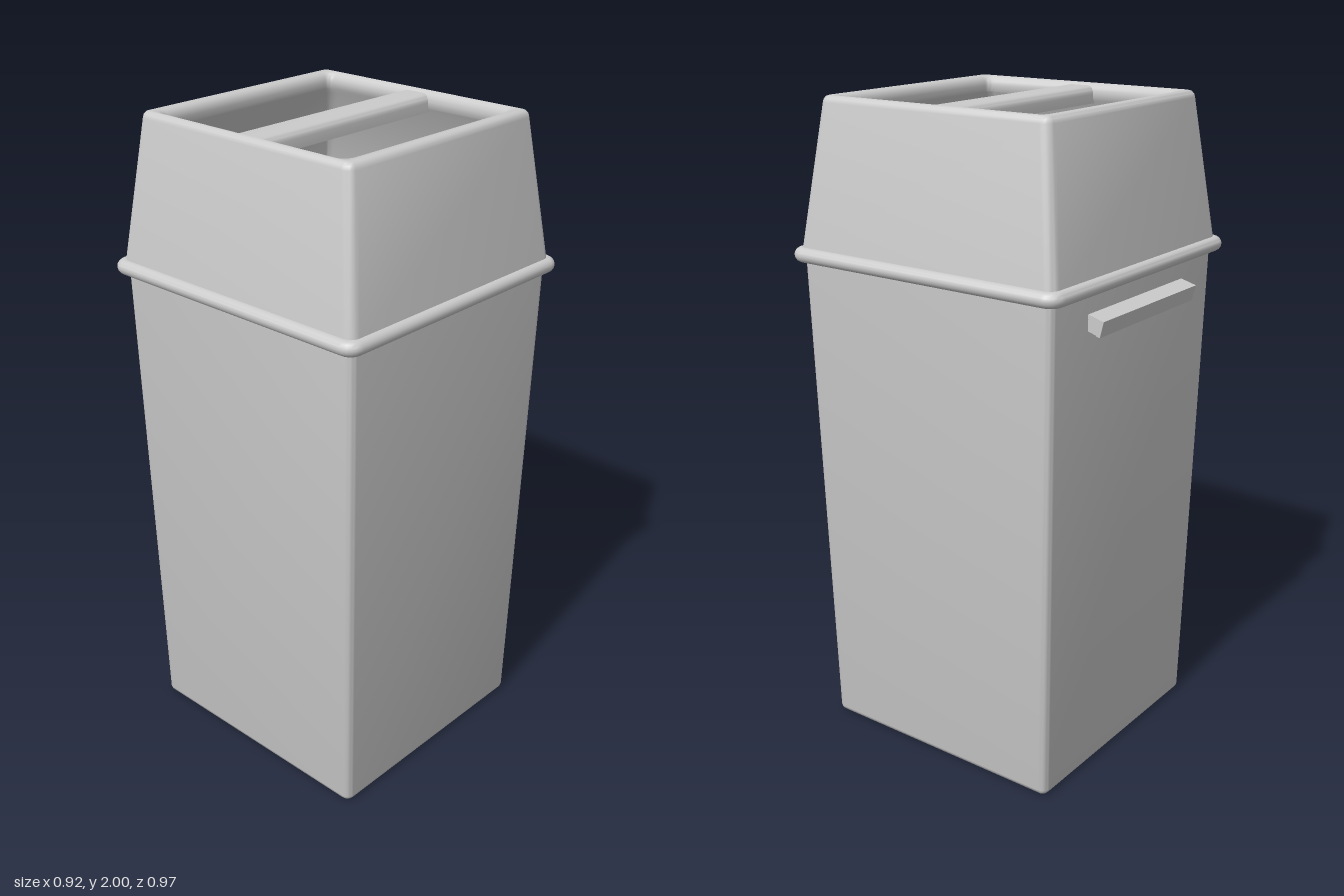
import * as THREE from 'three';
import { toCreasedNormals } from 'three/addons/utils/BufferGeometryUtils.js';

const material = new THREE.MeshStandardMaterial({ color: 0xcccccc });

// Points of a rounded rectangle at height y, from -hx..hx and z0..z1
function ring([y, hx, z0, z1, r], steps = 6) {
  const points = [];
  const corners = [[1, 1], [-1, 1], [-1, -1], [1, -1]];
  corners.forEach(([sx, sz], c) => {
    for (let i = 0; i <= steps; i++) {
      const a = (c + i / steps) * Math.PI / 2;
      const cz = sz > 0 ? z1 - r : z0 + r;
      points.push(sx * (hx - r) + r * Math.cos(a), y, cz + r * Math.sin(a));
    }
  });
  return points;
}

// Skin through a list of rounded-rectangle sections
function loft(sections, closed = false) {
  const rings = sections.map((s) => ring(s));
  const n = rings[0].length / 3;
  const index = [];
  const last = closed ? rings.length : rings.length - 1;
  for (let i = 0; i < last; i++) {
    const k = (i + 1) % rings.length;
    for (let j = 0; j < n; j++) {
      const m = (j + 1) % n;
      index.push(i * n + j, k * n + j, i * n + m, i * n + m, k * n + j, k * n + m);
    }
  }
  const g = new THREE.BufferGeometry();
  g.setAttribute('position', new THREE.Float32BufferAttribute(rings.flat(), 3));
  g.setIndex(index);
  return toCreasedNormals(g, 0.7);
}

// Section grown or shrunk by d on every side
const offset = ([y, hx, z0, z1, r], d, newY = y) =>
  [newY, hx + d, z0 - d, z1 + d, Math.max(r + d, 0.004)];

// Prism along x from a (z, y) profile
function prismX(shape, halfLength) {
  const g = new THREE.ExtrudeGeometry(shape, { depth: 2 * halfLength, bevelEnabled: false, curveSegments: 6 });
  g.translate(0, 0, -halfLength);
  g.rotateY(-Math.PI / 2); // profile x -> z, depth -> -x
  return toCreasedNormals(g, 0.7);
}

function add(group, name, geometry) {
  const mesh = new THREE.Mesh(geometry, material);
  mesh.name = name;
  group.add(mesh);
  return mesh;
}

export function createModel() {
  const bin = new THREE.Group();
  bin.name = 'wasteBin';

  // Tapered hollow body with a softened bottom edge
  const foot = [0.018, 0.4, -0.41, 0.428, 0.025];
  const mouth = [1.545, 0.429, -0.436, 0.455, 0.025];
  add(bin, 'body', loft([
    [0, 0, 0.009, 0.009, 0],
    offset(foot, -0.018, 0), offset(foot, -0.009, 0.0024), offset(foot, -0.0024, 0.009), foot,
    mouth, offset(mouth, -0.02),
    offset(foot, -0.02, 0.025),
    [0.025, 0, 0.009, 0.009, 0],
  ]));

  // Rounded collar where the lid meets the body
  const collar = [1.543, 0.437, -0.449, 0.464, 0.025];
  const collarProfile = [offset(collar, -0.025, 1.521)];
  for (let i = 0; i <= 8; i++) {
    const a = -Math.PI / 2 + i * Math.PI / 8;
    collarProfile.push(offset(collar, 0.022 * Math.cos(a), 1.543 + 0.022 * Math.sin(a)));
  }
  collarProfile.push(offset(collar, -0.025, 1.565));
  add(bin, 'collar', loft(collarProfile, true));

  // Tapered lid with a rolled edge around its open top
  const lidBase = [1.545, 0.437, -0.449, 0.466, 0.03];
  const lidTop = [1.98, 0.382, -0.393, 0.407, 0.03];
  const hole = [1.97, 0.34, -0.337, 0.35, 0.02];
  add(bin, 'lid', loft([
    lidBase, lidTop,
    offset(lidTop, -0.003, 1.99), offset(lidTop, -0.01, 1.997), offset(lidTop, -0.02, 2),
    offset(hole, 0.018, 1.998), offset(hole, 0.009, 1.993), offset(hole, 0.002, 1.983), hole,
    offset(hole, 0.002, 1.95), offset(hole, 0.016, 1.935),
    offset(lidBase, -0.025),
  ], true));

  // Crossbar between the two openings
  const bar = new THREE.Shape();
  bar.moveTo(-0.05, 1.94);
  bar.lineTo(0.06, 1.94);
  bar.lineTo(0.06, 1.968);
  bar.quadraticCurveTo(0.058, 1.99, 0.035, 1.992);
  bar.lineTo(-0.025, 1.992);
  bar.quadraticCurveTo(-0.048, 1.99, -0.05, 1.968);
  bar.closePath();
  add(bin, 'crossbar', prismX(bar, 0.355));

  // Back grip: a hooked channel, open below, with closed ends
  const grip = new THREE.Group();
  grip.name = 'backGrip';
  const polygon = (points) => new THREE.Shape(points.map(([z, y]) => new THREE.Vector2(z, y)));
  add(grip, 'gripChannel', prismX(polygon([
    [-0.425, 1.468], [-0.485, 1.452], [-0.473, 1.405], [-0.461, 1.408], [-0.47, 1.443], [-0.425, 1.455],
  ]), 0.25));
  for (const side of [-1, 1]) {
    const end = add(grip, side > 0 ? 'leftGripEnd' : 'rightGripEnd', prismX(polygon([
      [-0.425, 1.466], [-0.483, 1.451], [-0.472, 1.407], [-0.425, 1.42],
    ]), 0.006));
    end.position.x = side * 0.243;
  }
  bin.add(grip);

  bin.position.z = -0.002;
  const model = new THREE.Group();
  model.name = 'model';
  model.add(bin);
  return model;
}
